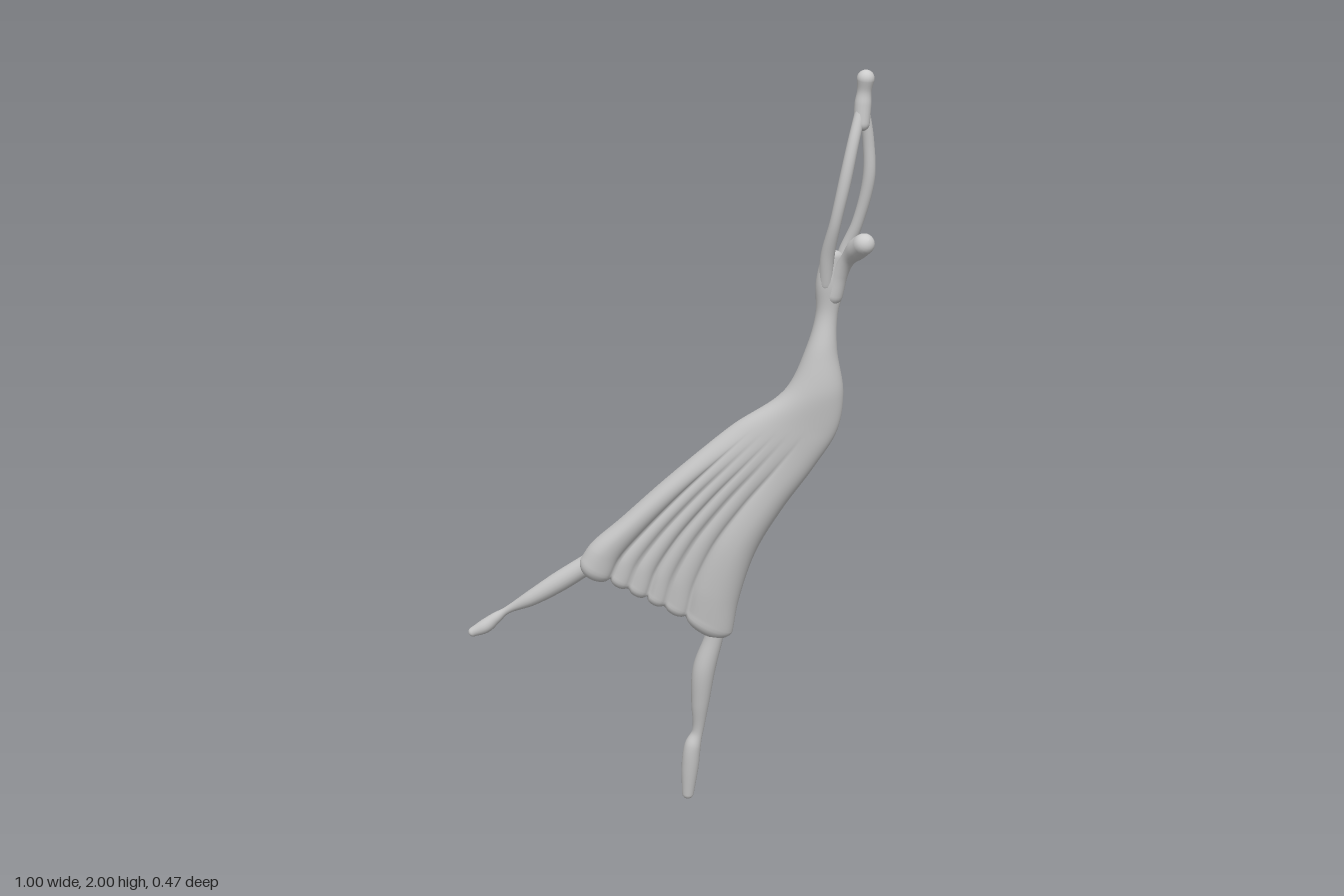
import * as THREE from 'three';

const V = (x, y, z) => new THREE.Vector3(x, y, z);

// Skin a list of closed rings (arrays of Vector3) with smooth normals
function skin(rings) {
  const n = rings[0].length, pos = [], idx = [];
  rings.forEach(r => r.forEach(p => pos.push(p.x, p.y, p.z)));
  for (let i = 0; i < rings.length - 1; i++) {
    for (let j = 0; j < n; j++) {
      const a = i * n + j, b = i * n + (j + 1) % n;
      idx.push(a, b, a + n, b, b + n, a + n);
    }
  }
  const g = new THREE.BufferGeometry();
  g.setAttribute('position', new THREE.Float32BufferAttribute(pos, 3));
  g.setIndex(idx);
  g.computeVertexNormals();
  return g;
}

// Round limb through points [x, y, z, radius] with domed ends
function limb(pts, sides = 20, steps = 48) {
  const curve = new THREE.CatmullRomCurve3(pts.map(p => V(p[0], p[1], p[2])));
  const radii = new THREE.CatmullRomCurve3(pts.map((p, i) => V(p[3], i * 0.02, 0)));
  const rings = [];
  let normal = V(0.5, 0, 0.87);
  const ring = (c, t, r) => {
    normal = normal.clone().addScaledVector(t, -normal.dot(t)).normalize();
    const side = t.clone().cross(normal);
    rings.push(Array.from({ length: sides }, (_, j) => {
      const a = j / sides * Math.PI * 2;
      return c.clone().addScaledVector(normal, r * Math.cos(a)).addScaledVector(side, r * Math.sin(a));
    }));
  };
  const dome = (k, c, t, r, sign) => {
    const a = k / 6 * Math.PI / 2;
    ring(c.clone().addScaledVector(t, sign * r * Math.sin(a)), t, Math.max(r * Math.cos(a), 1e-5));
  };
  for (let i = 0; i <= steps; i++) {
    const c = curve.getPoint(i / steps), t = curve.getTangent(i / steps), r = radii.getPoint(i / steps).x;
    if (i === 0) for (let k = 6; k > 0; k--) dome(k, c, t, r, -1);
    ring(c, t, r);
    if (i === steps) for (let k = 1; k <= 6; k++) dome(k, c, t, r, 1);
  }
  return skin(rings);
}

// Torso and dress: each row spans a trailing edge and a leading edge
// [trailing xyz, leading xyz, half thickness, pleat strength]
const ROWS = [
  [0.378, 1.55, 0.148, 0.432, 1.54, 0.105, 0.017, 0],
  [0.368, 1.48, 0.13, 0.438, 1.47, 0.1, 0.027, 0],
  [0.37, 1.40, 0.11, 0.424, 1.40, 0.104, 0.026, 0],
  [0.348, 1.31, 0.1, 0.425, 1.31, 0.107, 0.036, 0],
  [0.3, 1.20, 0.08, 0.444, 1.2, 0.1, 0.05, 0],
  [0.18, 1.1, 0.03, 0.432, 1.1, 0.095, 0.054, 0],
  [0.1, 1.025, 0.002, 0.378, 1.0, 0.08, 0.052, 0.2],
  [0, 0.925, -0.035, 0.304, 0.88, 0.05, 0.05, 0.6],
  [-0.1, 0.82, -0.07, 0.242, 0.755, 0.018, 0.047, 0.9],
  [-0.175, 0.745, -0.093, 0.203, 0.61, -0.015, 0.044, 1],
  [-0.2, 0.705, -0.1, 0.19, 0.515, -0.034, 0.041, 1],
];
const FOLDS = [-1, -0.58, -0.34, -0.1, 0.14, 0.42, 1];

// Thickness across the dress: fades from a plain oval to rounded folds
function thickness(u, pleat) {
  const oval = Math.sqrt(Math.max(0, 1 - u * u));
  let k = 0;
  while (k < FOLDS.length - 2 && u > FOLDS[k + 1]) k++;
  const v = (u - FOLDS[k]) / (FOLDS[k + 1] - FOLDS[k]) * 2 - 1;
  const round = Math.sqrt(Math.max(0, 1 - v * v));
  const outer = k === 0 || k === FOLDS.length - 2;
  const atRim = (k === 0 && v < 0) || (k === FOLDS.length - 2 && v > 0);
  const fold = atRim ? round : outer ? 0.3 + 0.7 * round : 0.3 + 0.42 * round;
  return oval * (1 - pleat) + fold * pleat;
}

function dress() {
  const lead = new THREE.CatmullRomCurve3(ROWS.map(r => V(r[3], r[4], r[5])));
  const trail = new THREE.CatmullRomCurve3(ROWS.map(r => V(r[0], r[1], r[2])));
  const form = new THREE.CatmullRomCurve3(ROWS.map((r, i) => V(r[6], r[7], i)));
  const rings = [], steps = 80, sides = 192;
  const ring = (t, bulge, sign) => {
    const R = lead.getPoint(t), L = trail.getPoint(t), f = form.getPoint(t);
    const mid = R.clone().add(L).multiplyScalar(0.5), half = R.clone().sub(L).multiplyScalar(0.5);
    const n = V(-half.z, 0, half.x).normalize();
    const up = n.clone().cross(half).normalize();
    const pleat = THREE.MathUtils.clamp(f.y, 0, 1);
    rings.push(Array.from({ length: sides }, (_, j) => {
      const a = j / sides * Math.PI * 2, u = Math.cos(a);
      const h = f.x * thickness(u, pleat);
      return mid.clone().addScaledVector(half, u)
        .addScaledVector(n, Math.sign(Math.sin(a)) * h * Math.cos(bulge))
        .addScaledVector(up, sign * h * Math.sin(bulge));
    }));
  };
  for (let k = 6; k > 0; k--) ring(0, k / 6 * Math.PI / 2, 1);
  for (let i = 0; i <= steps; i++) ring(i / steps, 0, 1);
  for (let k = 1; k <= 6; k++) ring(1, k / 6 * Math.PI / 2, -1);
  return skin(rings);
}

export function createModel() {
  const group = new THREE.Group();
  const grey = new THREE.MeshStandardMaterial({ color: 0xcccccc });
  grey.name = 'light stone grey';
  const add = (name, geometry) => {
    const mesh = new THREE.Mesh(geometry, grey);
    mesh.name = name;
    group.add(mesh);
  };

  add('torsoAndDress', dress());

  // Standing leg, on pointe
  add('standingLeg', limb([
    [0.157, 0.58, -0.03, 0.022], [0.143, 0.5, -0.043, 0.024], [0.118, 0.4, -0.06, 0.03],
    [0.11, 0.3, -0.075, 0.024], [0.105, 0.21, -0.088, 0.015], [0.092, 0.165, -0.093, 0.022],
    [0.086, 0.1, -0.102, 0.023], [0.081, 0.016, -0.11, 0.016],
  ]));

  // Leg raised behind
  add('raisedLeg', limb([
    [-0.15, 0.71, -0.095, 0.025], [-0.25, 0.63, -0.135, 0.027], [-0.33, 0.57, -0.165, 0.021],
    [-0.395, 0.525, -0.195, 0.01], [-0.425, 0.499, -0.208, 0.015], [-0.455, 0.472, -0.217, 0.019],
    [-0.488, 0.453, -0.224, 0.013],
  ]));

  // Neck and head, tilted back
  add('neckAndHead', limb([
    [0.41, 1.45, 0.118, 0.024], [0.423, 1.505, 0.133, 0.02], [0.438, 1.545, 0.155, 0.018],
    [0.455, 1.575, 0.182, 0.026], [0.467, 1.594, 0.21, 0.026],
  ]));

  // Arms forming a ring overhead
  add('leftArm', limb([
    [0.42, 1.48, 0.108, 0.017], [0.437, 1.55, 0.108, 0.017], [0.463, 1.63, 0.13, 0.014],
    [0.483, 1.74, 0.153, 0.015], [0.478, 1.83, 0.163, 0.014], [0.464, 1.91, 0.174, 0.013],
  ], 16));
  add('rightArm', limb([
    [0.39, 1.48, 0.128, 0.017], [0.39, 1.55, 0.146, 0.017], [0.403, 1.64, 0.178, 0.014],
    [0.421, 1.74, 0.191, 0.015], [0.438, 1.83, 0.19, 0.014], [0.457, 1.91, 0.177, 0.013],
  ], 16));
  add('joinedHands', limb([
    [0.459, 1.875, 0.176, 0.019], [0.461, 1.92, 0.174, 0.02], [0.463, 1.95, 0.176, 0.017],
    [0.465, 1.979, 0.18, 0.021],
  ], 16, 24));

  return group;
}
